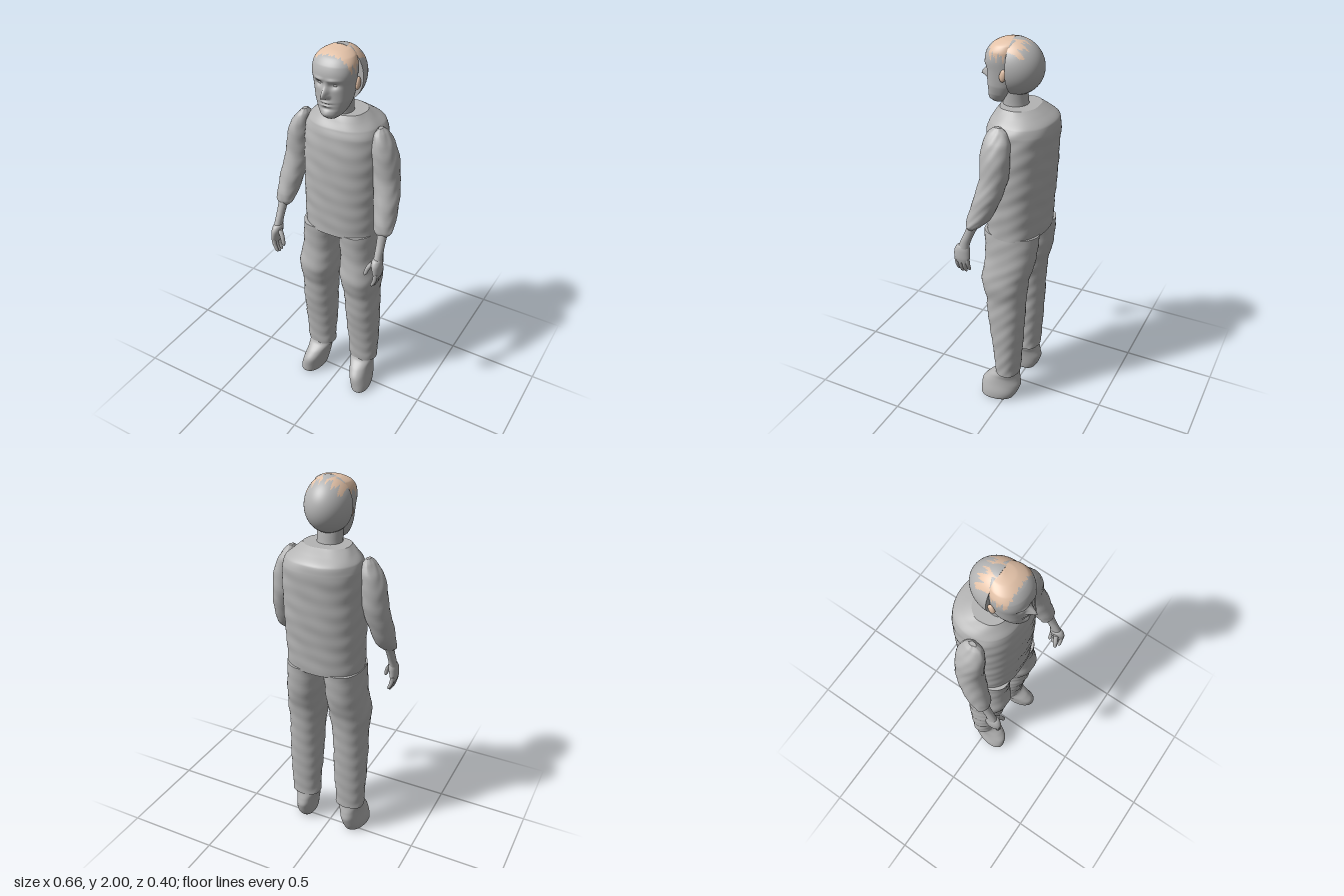
import * as THREE from 'three';

const MID = 0.007; // the figure stands slightly off the middle

const plaster = new THREE.MeshStandardMaterial({ color: 0xb4b4b4 });
plaster.name = 'grey plaster';
const skin = new THREE.MeshStandardMaterial({ color: 0xe3c2a8 });
skin.name = 'pale skin';

// Loft of horizontal superellipses [cx, y, cz, rx, rz], listed from bottom to top.
function loft(sections, { seg = 40, rings = 40, power = 1, shape = null } = {}) {
  const centres = new THREE.CatmullRomCurve3(sections.map(s => new THREE.Vector3(s[0], s[1], s[2])));
  const radii = new THREE.CatmullRomCurve3(sections.map(s => new THREE.Vector3(s[3], s[4], 0)));
  const pos = [], idx = [], p = new THREE.Vector3();
  const soft = v => Math.sign(v) * Math.abs(v) ** power;
  for (let i = 0; i <= rings; i++) {
    const c = centres.getPoint(i / rings), r = radii.getPoint(i / rings);
    for (let j = 0; j < seg; j++) {
      const a = (j / seg) * Math.PI * 2;
      p.set(c.x + r.x * soft(Math.cos(a)), c.y, c.z + r.y * soft(Math.sin(a)));
      if (shape) shape(p, a);
      pos.push(p.x, p.y, p.z);
    }
  }
  for (let i = 0; i < rings; i++) {
    for (let j = 0; j < seg; j++) {
      const k = (j + 1) % seg, a = i * seg + j, b = i * seg + k;
      idx.push(a, a + seg, b, b, a + seg, b + seg);
    }
  }
  // end caps with their own corners, so the rims stay sharp
  for (const row of [0, rings]) {
    const start = pos.length / 3, mean = [0, 0, 0];
    for (let j = 0; j < seg; j++) {
      for (let n = 0; n < 3; n++) {
        const v = pos[(row * seg + j) * 3 + n];
        pos.push(v);
        mean[n] += v / seg;
      }
    }
    pos.push(...mean);
    for (let j = 0; j < seg; j++) {
      const a = start + j, b = start + (j + 1) % seg;
      row ? idx.push(a, start + seg, b) : idx.push(a, b, start + seg);
    }
  }
  const geo = new THREE.BufferGeometry();
  geo.setAttribute('position', new THREE.Float32BufferAttribute(pos, 3));
  geo.setIndex(idx);
  geo.computeVertexNormals();
  return geo;
}

// Sorts triangles into two material groups: plaster, and skin where the rule holds.
function paintSkin(geo, rule) {
  const pos = geo.attributes.position, index = geo.index.array, lists = [[], []];
  const mid = new THREE.Vector3(), v = new THREE.Vector3();
  for (let i = 0; i < index.length; i += 3) {
    mid.set(0, 0, 0);
    for (let n = 0; n < 3; n++) mid.addScaledVector(v.fromBufferAttribute(pos, index[i + n]), 1 / 3);
    lists[rule(mid) ? 1 : 0].push(index[i], index[i + 1], index[i + 2]);
  }
  geo.setIndex(lists[0].concat(lists[1]));
  geo.addGroup(0, lists[0].length, 0);
  geo.addGroup(lists[0].length, lists[1].length, 1);
  return geo;
}

function add(parent, name, geo, material = plaster) {
  const mesh = new THREE.Mesh(geo, material);
  mesh.name = name;
  parent.add(mesh);
  return mesh;
}

// Gentle cloth ripples
const ripple = (p, a) => {
  const d = 0.0022 * Math.sin(p.y * 60 + 3 * Math.sin(a * 2)) * Math.sin(a * 3 + p.y * 17);
  p.x += d * Math.cos(a);
  p.z += d * Math.sin(a);
};

// Smooth bump centred at (x, y) with the given spreads
const bump = (x, y, cx, cy, sx, sy) => Math.exp(-(((x - cx) / sx) ** 2) - ((y - cy) / sy) ** 2);

// Facial features pushed into the front of the head
function face(p) {
  if (p.z < 0.05) return;
  const x = Math.abs(p.x - MID), y = p.y;
  const w = Math.min(1, (p.z - 0.05) / 0.04);
  const slope = y > 1.808 ? 0.034 : 0.011;
  p.z += w * (
    0.044 * bump(x, y, 0, 1.808, 0.013, slope) + 0.008 * bump(x, y, 0.015, 1.803, 0.008, 0.008)
    - 0.016 * bump(x, y, 0.037, 1.856, 0.02, 0.013)
    + 0.007 * bump(x, y, 0.035, 1.882, 0.028, 0.008)
    + 0.009 * bump(x, y, 0, 1.775, 0.024, 0.006) + 0.008 * bump(x, y, 0, 1.758, 0.02, 0.006)
    - 0.007 * bump(x, y, 0, 1.7665, 0.028, 0.003) - 0.006 * bump(x, y, 0, 1.743, 0.03, 0.008)
    + 0.007 * bump(x, y, 0, 1.718, 0.022, 0.014));
}

const jag = x => 0.008 * Math.sin(x * 190) + 0.006 * Math.sin(x * 410 + 1);

function buildHead() {
  const head = new THREE.Group();
  head.name = 'head';
  // rows of [y, half width, front z, back z]
  const rows = [[1.69, 0.03, 0.125, 0.06], [1.705, 0.05, 0.14, 0.03], [1.735, 0.07, 0.142, 0],
    [1.78, 0.087, 0.142, -0.02], [1.85, 0.097, 0.144, -0.03], [1.9, 0.103, 0.149, -0.03],
    [1.94, 0.1, 0.138, -0.03], [1.97, 0.084, 0.112, -0.03], [1.99, 0.05, 0.07, -0.03], [1.998, 0.012, 0.02, -0.01]];
  const skull = loft(rows.map(([y, w, f, b]) => [MID, y, (f + b) / 2, w, (f - b) / 2]),
    { seg: 128, rings: 90, power: 0.92, shape: face });
  add(head, 'face and bare scalp', paintSkin(skull, p =>
    p.z > 0.005 && p.z < 0.1 + jag(p.x) * 0.5 && p.y > 1.925 + 2 * jag(p.z)), [plaster, skin]);

  // Rounded shell at the back of the head, with hair strands running into the scalp
  const shell = new THREE.SphereGeometry(1, 128, 64, 0, Math.PI * 2, 0, Math.PI / 2);
  shell.rotateX(-Math.PI / 2).scale(0.115, 0.134, 0.14).translate(MID, 1.866, 0.009);
  add(head, 'back of head', paintSkin(shell, p => {
    const x = Math.abs(p.x - MID);
    const tongue = x < 0.03 && p.z > -0.045 + 45 * x * x;
    return p.y > 1.925 && x < 0.09 && !tongue && p.z > -0.055 + 2 * jag(p.x) + (x < 0.03 ? 0.008 : 0);
  }), [plaster, skin]);
  const rim = new THREE.CircleGeometry(1, 64);
  rim.scale(0.115, 0.134, 1).translate(MID, 1.866, 0.009);
  add(head, 'hair shell rim', rim);

  for (const side of [-1, 1]) {
    const eye = add(head, 'eye', new THREE.SphereGeometry(0.0125, 20, 14));
    eye.position.set(MID + side * 0.037, 1.856, 0.116);
    eye.scale.set(1.2, 0.7, 1);
    const ear = add(head, 'ear', new THREE.SphereGeometry(1, 20, 16), skin);
    ear.position.set(MID + side * 0.097, 1.842, 0.026);
    ear.scale.set(0.011, 0.03, 0.017);
    ear.rotation.x = -0.2;
  }
  return head;
}

function buildArm(side) {
  const arm = new THREE.Group();
  arm.name = side > 0 ? 'leftArm' : 'rightArm';
  const place = list => list.map(([x, ...rest]) => [MID + side * x, ...rest]);
  add(arm, 'sleeve', loft(place([[0.28, 1.135, 0.1, 0.03, 0.022], [0.28, 1.155, 0.092, 0.047, 0.038],
    [0.275, 1.2, 0.066, 0.053, 0.058], [0.262, 1.3, 0.03, 0.062, 0.066], [0.244, 1.4, 0.003, 0.065, 0.068],
    [0.233, 1.5, 0, 0.063, 0.071], [0.22, 1.57, 0, 0.05, 0.066], [0.207, 1.62, 0, 0.027, 0.045],
    [0.203, 1.64, 0, 0.01, 0.018]]), { shape: ripple }));
  add(arm, 'wrist', loft(place([[0.29, 1, 0.158, 0.022, 0.032], [0.288, 1.05, 0.142, 0.02, 0.026],
    [0.286, 1.1, 0.12, 0.021, 0.025], [0.282, 1.17, 0.09, 0.028, 0.03]]), { seg: 24, rings: 16 }));
  add(arm, 'palm', loft(place([[0.295, 0.935, 0.158, 0.015, 0.034], [0.295, 0.96, 0.16, 0.02, 0.042],
    [0.29, 1, 0.16, 0.024, 0.042], [0.287, 1.025, 0.155, 0.022, 0.033], [0.287, 1.035, 0.15, 0.012, 0.02]]),
  { seg: 24, rings: 16 }));
  for (let f = 0; f < 4; f++) {
    const z = 0.129 + f * 0.02, tip = [0.885, 0.872, 0.87, 0.88][f];
    add(arm, 'finger', loft(place([[0.277, tip, z, 0.004, 0.004], [0.281, tip + 0.01, z, 0.009, 0.009],
      [0.293, tip + 0.04, z, 0.011, 0.01], [0.298, 0.96, z, 0.012, 0.011]]), { seg: 12, rings: 9 }));
  }
  add(arm, 'thumb', loft(place([[0.237, 0.93, 0.185, 0.004, 0.004], [0.24, 0.942, 0.184, 0.01, 0.01],
    [0.25, 0.975, 0.178, 0.012, 0.012], [0.272, 1.01, 0.165, 0.014, 0.014]]), { seg: 12, rings: 9 }));
  return arm;
}

function buildLeg(side) {
  const leg = new THREE.Group();
  leg.name = side > 0 ? 'leftLeg' : 'rightLeg';
  const place = list => list.map(([x, ...rest]) => [MID + side * x, ...rest]);
  add(leg, 'trouser leg', loft(place([[0.134, 0.19, -0.01, 0.08, 0.064], [0.135, 0.25, -0.01, 0.08, 0.068],
    [0.132, 0.4, -0.007, 0.088, 0.082], [0.13, 0.55, 0, 0.09, 0.098], [0.126, 0.67, 0.002, 0.092, 0.106],
    [0.122, 0.78, 0.008, 0.105, 0.124], [0.112, 0.9, -0.015, 0.1, 0.132], [0.1, 1.06, -0.02, 0.1, 0.143]]),
  { rings: 60, power: 0.9, shape: ripple }));
  // The foot turns out a little towards the toe
  add(leg, 'foot', loft(place([[0.153, 0, 0.045, 0.045, 0.078], [0.155, 0.012, 0.045, 0.054, 0.09],
    [0.153, 0.05, 0.036, 0.057, 0.102], [0.145, 0.1, 0.026, 0.055, 0.11], [0.138, 0.145, 0.012, 0.058, 0.09],
    [0.134, 0.18, -0.004, 0.067, 0.064], [0.134, 0.21, -0.01, 0.067, 0.055]]),
  { power: 0.92, shape: p => { p.x += side * 0.14 * (p.z - 0.03) * Math.max(0, 1 - p.y / 0.2); } }));
  return leg;
}

export function createModel() {
  const model = new THREE.Group();
  model.name = 'standingMan';

  // Shirt body with sloping shoulders and a flat collar opening
  add(model, 'torso', loft([[0.011, 1.05, -0.02, 0.2, 0.148], [0.012, 1.2, -0.023, 0.203, 0.155],
    [0.014, 1.35, -0.028, 0.206, 0.162], [0.015, 1.5, -0.033, 0.205, 0.164], [0.013, 1.59, -0.04, 0.198, 0.162],
    [0.01, 1.63, -0.042, 0.182, 0.152], [0.008, 1.665, -0.03, 0.145, 0.118], [0.007, 1.69, -0.02, 0.117, 0.09]],
  { seg: 72, rings: 70, power: 0.86, shape: ripple }));

  add(model, 'neck', loft([[MID, 1.66, 0.005, 0.064, 0.064], [MID, 1.71, 0.008, 0.062, 0.06],
    [MID, 1.78, 0.015, 0.064, 0.06]], { rings: 10 }));

  model.add(buildHead());
  for (const side of [-1, 1]) model.add(buildArm(side), buildLeg(side));
  return model;
}
